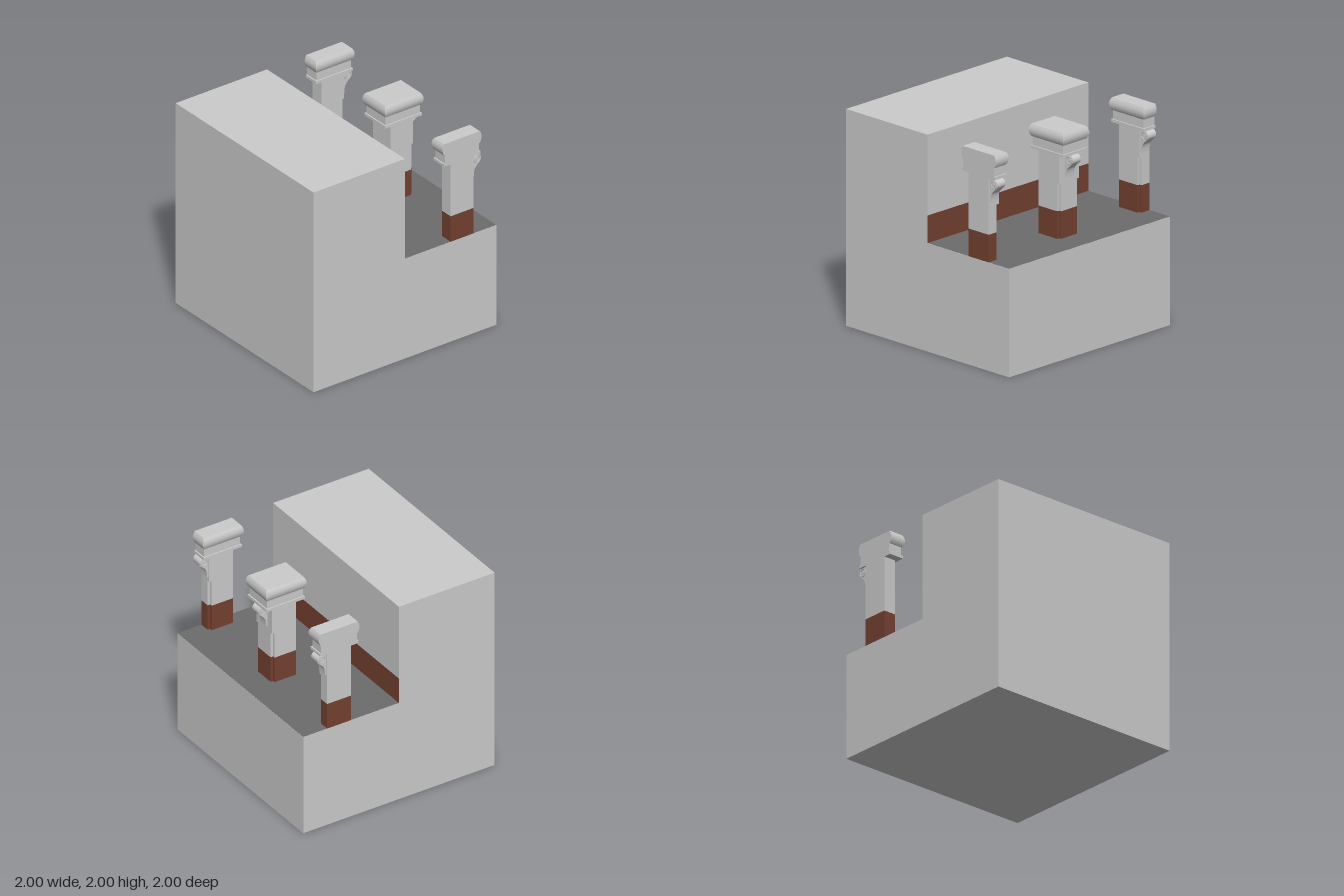
import * as THREE from 'three';
import { toCreasedNormals } from 'three/addons/utils/BufferGeometryUtils.js';

const material = (color) => new THREE.MeshStandardMaterial({ color });
const grey = material(0xcccccc);
const brown = material(0x744131);
const dark = material(0x6c6c6c);

function add(group, name, geometry, mat = grey) {
  const mesh = new THREE.Mesh(geometry, mat);
  mesh.name = name;
  group.add(mesh);
  return mesh;
}

// Box given by its limits on each axis
function boxBetween(x0, x1, y0, y1, z0, z1) {
  return new THREE.BoxGeometry(x1 - x0, y1 - y0, z1 - z0)
    .translate((x0 + x1) / 2, (y0 + y1) / 2, (z0 + z1) / 2);
}

// Mitred moulding: rows of [inset, y], bottom to top, swept round a rectangle
// that is cut off flat at z = -1 and z = 1
function moulding(rows, zMid) {
  const corners = rows.map(([inset, y]) => {
    const x0 = 0.4125 + inset, x1 = 0.8375 - inset;
    const z0 = Math.max(-1, zMid - 0.163 + inset), z1 = Math.min(1, zMid + 0.163 - inset);
    return [[x0, y, z1], [x1, y, z1], [x1, y, z0], [x0, y, z0]];
  });
  const positions = [], index = [];
  for (let s = 0; s < 4; s++) {
    const base = positions.length / 3;
    corners.forEach((ring, r) => {
      positions.push(...ring[s], ...ring[(s + 1) % 4]);
      if (r > 0) {
        const a = base + 2 * (r - 1);
        index.push(a, a + 1, a + 3, a, a + 3, a + 2);
      }
    });
  }
  // Bottom and top
  const b = positions.length / 3;
  positions.push(...corners[0].flat(), ...corners[corners.length - 1].flat());
  index.push(b, b + 2, b + 1, b, b + 3, b + 2, b + 4, b + 5, b + 6, b + 4, b + 6, b + 7);
  const geometry = new THREE.BufferGeometry();
  geometry.setAttribute('position', new THREE.Float32BufferAttribute(positions, 3));
  geometry.setIndex(index);
  geometry.computeVertexNormals();
  return geometry;
}

// Scrolled bracket on the outer side of a post
function createBracket() {
  const bracket = new THREE.Group();
  bracket.name = 'bracket';
  const shape = new THREE.Shape();
  shape.moveTo(0.745, 1.555);
  shape.lineTo(0.762, 1.555);
  shape.bezierCurveTo(0.766, 1.64, 0.775, 1.64, 0.823, 1.687);
  shape.absarc(0.798, 1.724, 0.046, -0.95, Math.PI / 2, false);
  shape.lineTo(0.745, 1.775);
  const body = new THREE.ExtrudeGeometry(shape, { depth: 0.098, bevelEnabled: false, curveSegments: 14 });
  add(bracket, 'bracketBody', toCreasedNormals(body.translate(0, 0, -0.049), 0.6));
  for (const side of [-1, 1]) {
    add(bracket, 'scrollRing', new THREE.TorusGeometry(0.034, 0.005, 6, 24))
      .position.set(0.798, 1.724, side * 0.049);
    add(bracket, 'scrollEye', new THREE.CylinderGeometry(0.014, 0.014, 0.008, 20).rotateX(Math.PI / 2))
      .position.set(0.798, 1.724, side * 0.05);
  }
  return bracket;
}

function createPost(zMid) {
  const post = new THREE.Group();
  post.name = 'post';
  const z0 = Math.max(-1, zMid - 0.125), z1 = Math.min(1, zMid + 0.125);
  // Outer corners are notched, except where the post is cut off flat
  const n0 = z0 > -1 ? z0 + 0.025 : z0, n1 = z1 < 1 ? z1 - 0.025 : z1;

  for (const [name, y0, y1, mat] of [['postBase', 1, 1.255, brown], ['postShaft', 1.255, 1.51, grey]]) {
    add(post, name, boxBetween(0.5, 0.725, y0, y1, z0, z1), mat);
    add(post, name + 'Face', boxBetween(0.725, 0.75, y0, y1, n0, n1), mat);
  }
  add(post, 'upperShaft', boxBetween(0.5, 0.75, 1.51, 1.78, z0, z1));

  // Capital: plate, neck and rounded top
  add(post, 'capitalPlate', moulding([[0.0125, 1.775], [0.0125, 1.802]], zMid));
  add(post, 'capitalNeck', moulding([[0.025, 1.802], [0.025, 1.888]], zMid));
  const round = [];
  for (let i = 0; i <= 10; i++) {
    const t = i / 10;
    round.push([0.018 * (2 * t - 1) ** 2, 1.885 + 0.115 * t]);
  }
  add(post, 'capitalTop', moulding(round, zMid));

  const bracket = createBracket();
  bracket.position.z = (z0 + z1) / 2;
  post.add(bracket);
  return post;
}

export function createModel() {
  const model = new THREE.Group();
  model.name = 'wallWithPosts';

  // Stepped block: high wall on one side, walkway on the other
  const profile = new THREE.Shape([[-1, 0], [1, 0], [1, 1], [0, 1], [0, 2], [-1, 2]]
    .map(([x, y]) => new THREE.Vector2(x, y)));
  add(model, 'steppedBlock',
    new THREE.ExtrudeGeometry(profile, { depth: 2, bevelEnabled: false }).translate(0, 0, -1));

  // Painted surfaces of the walkway and the foot of the wall
  add(model, 'walkwayFloor',
    new THREE.PlaneGeometry(1, 2).rotateX(-Math.PI / 2).translate(0.5, 1.001, 0), dark);
  add(model, 'wallBaseBand',
    new THREE.PlaneGeometry(2, 0.255).rotateY(Math.PI / 2).translate(0.001, 1.1275, 0), brown);

  // One whole post and a half post at each end
  for (const z of [-1, 0, 1]) model.add(createPost(z));
  return model;
}
